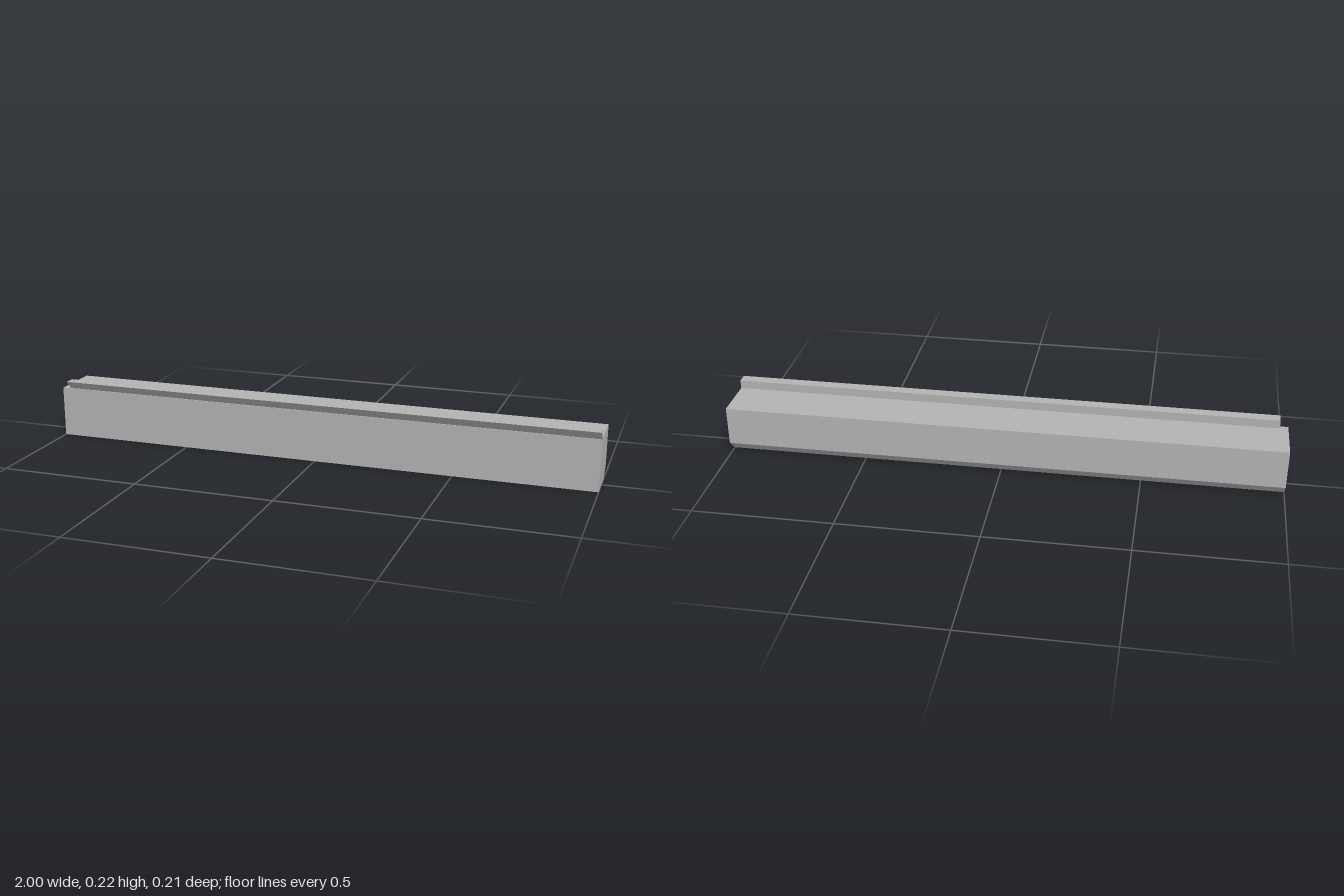
import * as THREE from 'three';

const gray = new THREE.MeshStandardMaterial({ color: 0xb2b2b2 });
gray.name = 'plain gray';

// Extrudes a [z, y] cross-section along x, from x0 to x1
function bar(name, section, x0, x1) {
  const shape = new THREE.Shape(section.map(([z, y]) => new THREE.Vector2(-z, y)));
  const geometry = new THREE.ExtrudeGeometry(shape, { depth: x1 - x0, bevelEnabled: false });
  geometry.rotateY(Math.PI / 2).translate(x0, 0, 0);
  const mesh = new THREE.Mesh(geometry, gray);
  mesh.name = name;
  return mesh;
}

export function createModel() {
  const model = new THREE.Group();
  model.name = 'chamferedBeam';

  // Long beam with a chamfered lower back edge
  model.add(bar('beam', [
    [0.079, 0], [-0.06, 0], [-0.103, 0.043], [-0.103, 0.184], [0.079, 0.184],
  ], -1, 1));

  // Overhanging lip along the top front edge, stopping short of the right end
  model.add(bar('lip', [
    [0.075, 0.184], [0.064, 0.184], [0.064, 0.215], [0.103, 0.215],
  ], -0.97, 1));

  return model;
}
